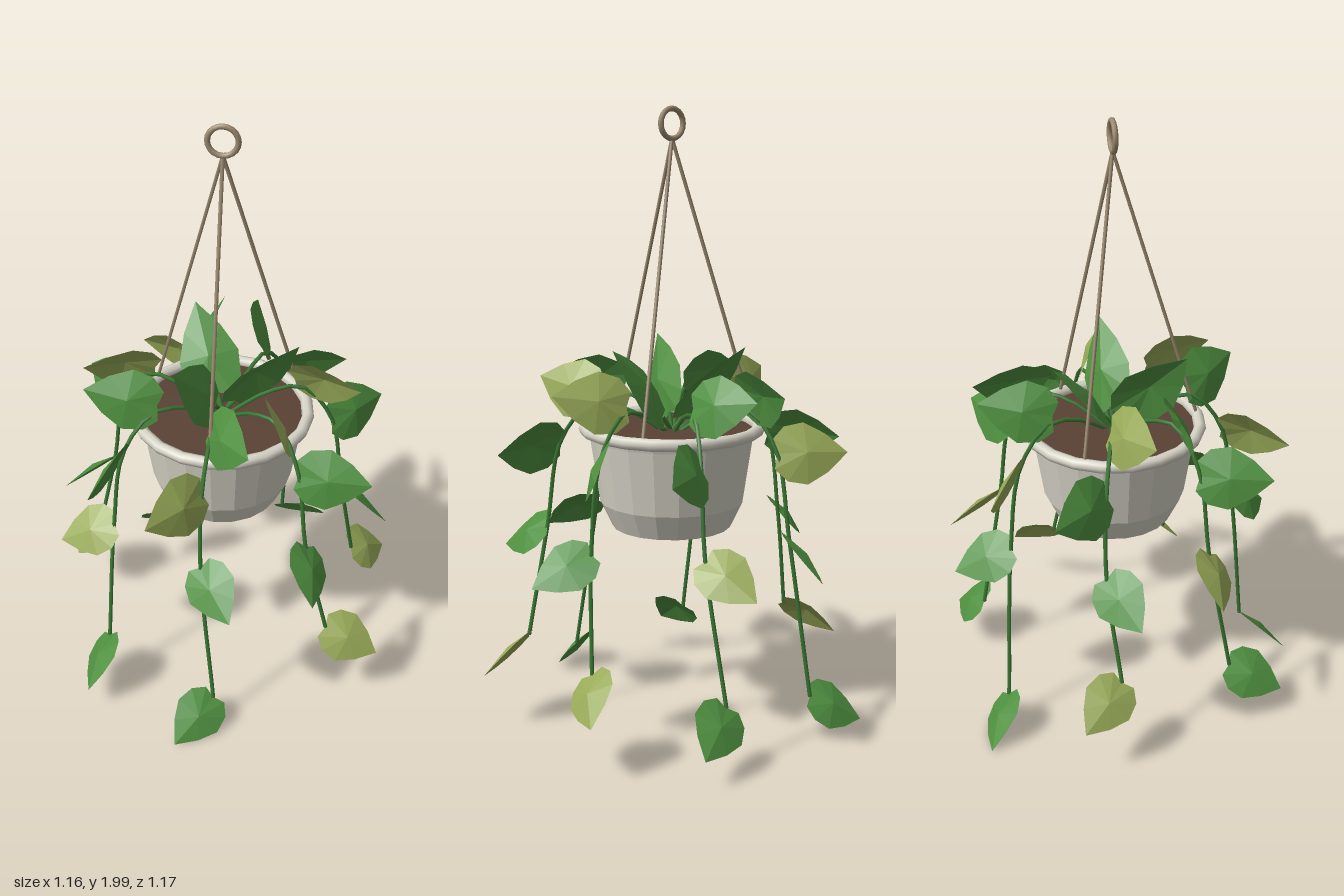
import * as THREE from 'three';

const CZ = -0.035; // pot axis
const V = (x, y, z) => new THREE.Vector3(x, y, z);
const UP = V(0, 1, 0);

const mat = (name, color, side = THREE.FrontSide) => {
  const m = new THREE.MeshStandardMaterial({ color, side });
  m.name = name;
  return m;
};

const flat = (geometry) => {
  const g = geometry.index ? geometry.toNonIndexed() : geometry;
  g.computeVertexNormals();
  return g;
};

// Faceted heart-shaped leaf: unit length along +x, unit width along z, domed in y
function leafGeometry() {
  const edge = [[0, 0], [-0.05, 0.24], [0.12, 0.44], [0.4, 0.5], [0.7, 0.31], [1, 0]];
  const p = [];
  const centre = [0.4, 0.09, 0];
  for (let i = 0; i < edge.length - 1; i++) {
    const [a, b] = [edge[i], edge[i + 1]];
    p.push(...centre, a[0], 0, a[1], b[0], 0, b[1]);
    p.push(...centre, b[0], 0, -b[1], a[0], 0, -a[1]);
  }
  const g = new THREE.BufferGeometry();
  g.setAttribute('position', new THREE.Float32BufferAttribute(p, 3));
  g.computeVertexNormals();
  return g;
}

export function createModel() {
  const model = new THREE.Group();
  model.name = 'hangingPlant';

  const clay = mat('creamClay', 0xd6d3c6);
  const soilMat = mat('brownSoil', 0x5a4235);
  const cord = mat('tanCord', 0x9c8b70);
  const stemMat = mat('stemGreen', 0x3c7a35);
  const green = mat('leafGreen', 0x4f9040, THREE.DoubleSide);
  const olive = mat('leafOlive', 0x98aa58, THREE.DoubleSide);

  const add = (name, geometry, material, parent = model) => {
    const mesh = new THREE.Mesh(geometry, material);
    mesh.name = name;
    parent.add(mesh);
    return mesh;
  };

  // Pot, rolled rim and soil
  const profile = [[0, 0.655], [0.195, 0.655], [0.235, 0.74], [0.266, 0.95], [0.275, 0.985]]
    .map(([r, y]) => new THREE.Vector2(r, y));
  add('pot', flat(new THREE.LatheGeometry(profile, 20)), clay).position.z = CZ;
  const rim = add('potRim', new THREE.TorusGeometry(0.283, 0.02, 8, 20), clay);
  rim.rotation.x = Math.PI / 2;
  rim.position.set(0, 0.981, CZ);
  add('soil', new THREE.CylinderGeometry(0.272, 0.265, 0.02, 20), soilMat).position.set(0, 0.965, CZ);

  // Hanging ring and three cords
  add('hangingRing', new THREE.TorusGeometry(0.046, 0.009, 8, 20), cord).position.set(0, 1.945, CZ);
  for (let i = 0; i < 3; i++) {
    const a = Math.PI / 2 + (i * Math.PI * 2) / 3;
    const line = new THREE.LineCurve3(
      V(0, 1.9, CZ), V(0.28 * Math.cos(a), 0.985, CZ + 0.28 * Math.sin(a)));
    add('cord', new THREE.TubeGeometry(line, 1, 0.006, 6), cord);
  }

  // Place a leaf from base to tip, rolled towards the given outward direction
  const leafGeo = leafGeometry();
  const addLeaf = (parent, base, tip, width, rollDeg, outward, material) => {
    const d = tip.clone().sub(base);
    const length = d.length();
    d.normalize();
    const side = d.clone().cross(UP).normalize();
    if (side.dot(outward) < 0) side.negate();
    const up = UP.clone().addScaledVector(d, -d.y).normalize();
    const roll = THREE.MathUtils.degToRad(rollDeg);
    const n = up.multiplyScalar(Math.cos(roll)).addScaledVector(side, Math.sin(roll));
    const leaf = add('leaf', leafGeo, material, parent);
    leaf.quaternion.setFromRotationMatrix(
      new THREE.Matrix4().makeBasis(d, n, d.clone().cross(n)));
    leaf.position.copy(base);
    leaf.scale.set(length, length, width);
  };

  // Seven trailing vines, leaves alternating from side to side
  for (let i = 0; i < 7; i++) {
    const vine = new THREE.Group();
    vine.name = 'vine';
    model.add(vine);
    const a = Math.PI / 2 + ((i - 1) * Math.PI * 2) / 7;
    const s = i % 2 ? 1 : -1;
    const end = [0.18, 0, 0.09][i % 3];
    const radial = V(Math.cos(a), 0, Math.sin(a));
    // r outwards, t sideways, y up
    const at = (r, t, y) => V(
      r * Math.cos(a) + t * Math.sin(a), y, CZ + r * Math.sin(a) - t * Math.cos(a));

    const path = new THREE.CatmullRomCurve3([
      at(0.03, 0, 0.97), at(0.14, 0, 1.04), at(0.26, 0, 1.06), at(0.36, -0.01, 0.94),
      at(0.41, -0.01, 0.65), at(0.475, 0.04, end + 0.11)]);
    add('stem', new THREE.TubeGeometry(path, 20, 0.007, 5), stemMat, vine);

    const leaves = [
      { base: at(0.24, 0, 1.085), tip: at(0.43, s * 0.142, 1.13), w: 0.2, roll: 68 },
      { base: at(0.365, -0.01, 0.925), tip: at(0.556, -s * 0.14 - 0.015, 0.92), w: 0.2, roll: 68 },
      { base: at(0.41, -0.01, 0.65), tip: at(0.557, s * 0.115 - 0.01, 0.555), w: 0.175, roll: 42 },
      { base: at(0.475, 0.04, end + 0.11), tip: at(0.617, s * -0.11 + 0.04, end + 0.012), w: 0.175, roll: 42 },
    ];
    leaves.forEach((l, j) => addLeaf(
      vine, l.base, l.tip, l.w, l.roll, radial, (i - j + 3) % 3 === 0 ? olive : green));
  }

  // Upright leaves in the middle
  const crown = new THREE.Group();
  crown.name = 'crownLeaves';
  model.add(crown);
  [[0, 50], [120, 68], [240, 20]].forEach(([deg, roll]) => {
    const a = THREE.MathUtils.degToRad(deg);
    const dir = V(Math.cos(a), 0, Math.sin(a));
    const base = dir.clone().multiplyScalar(0.04).add(V(0, 1.02, CZ));
    const tip = dir.clone().multiplyScalar(0.245).add(V(0, 1.255, CZ));
    const root = V(0, 0.97, CZ);
    add('crownStem', new THREE.TubeGeometry(new THREE.LineCurve3(root, base), 1, 0.007, 5), stemMat, crown);
    addLeaf(crown, base, tip, 0.2, roll, V(Math.sin(a), 0, -Math.cos(a)), green);
  });

  return model;
}
